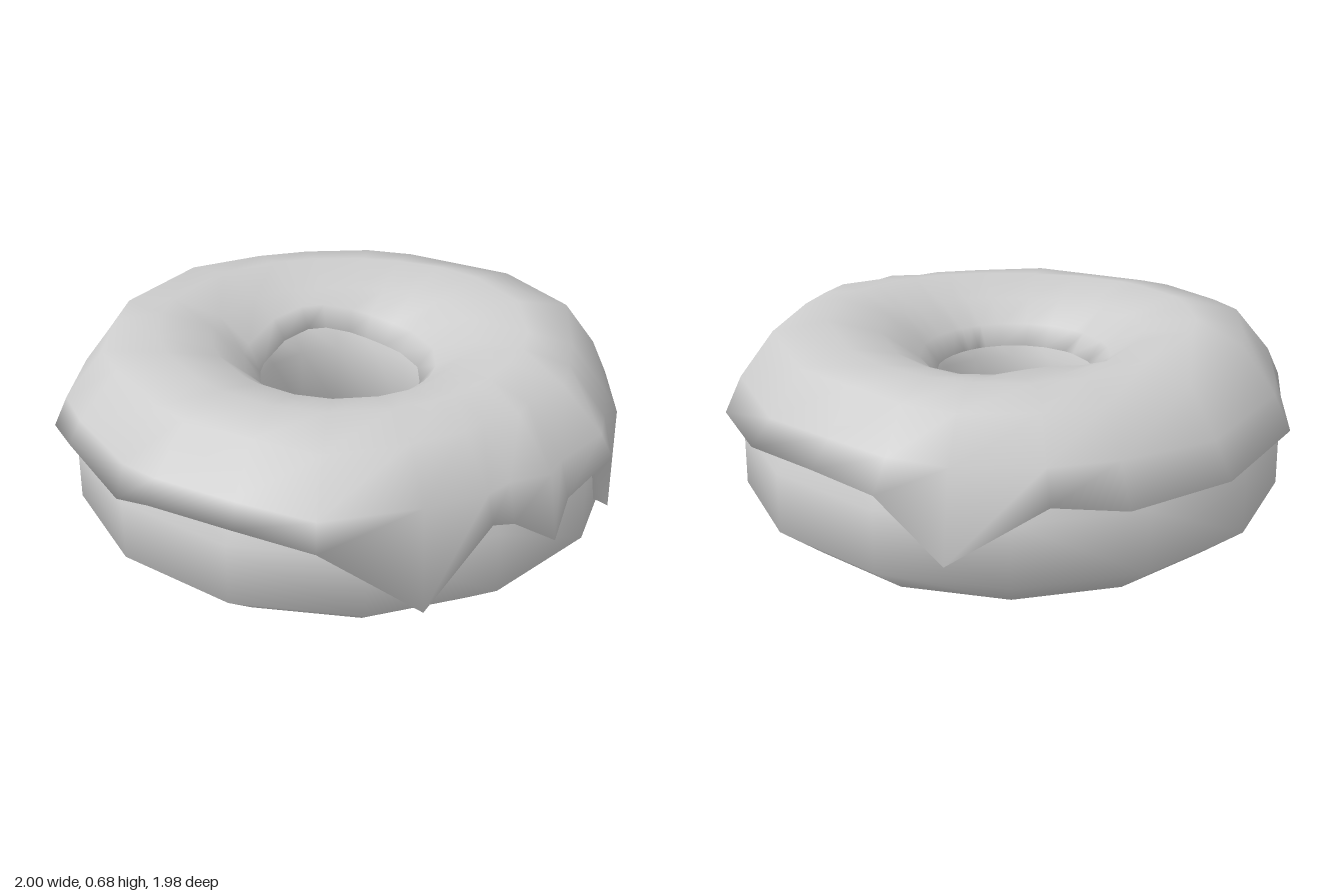
import * as THREE from 'three';

const glaze = new THREE.MeshStandardMaterial({ color: 0xcccccc });
glaze.name = 'plain grey';

// Closed dough ring, profile from the hidden top round the hole, base and outer wall
function makeDough() {
  const profile = [
    [0.62, 0.6], [0.43, 0.54], [0.315, 0.42], [0.315, 0.17], [0.44, 0.04], [0.62, 0.005],
    [0.8, 0.01], [0.95, 0.135], [0.945, 0.34], [0.82, 0.53], [0.62, 0.6],
  ].map(([r, y]) => new THREE.Vector2(r, y));
  const mesh = new THREE.Mesh(new THREE.LatheGeometry(profile, 14), glaze);
  mesh.name = 'dough';
  return mesh;
}

// Icing rim: x, z and height of the lower edge, in order around the ring
const rim = [
  [0.04, 0.985, 0.39], [0.18, 0.96, 0.42], [0.45, 0.86, 0.42], [0.7, 0.75, 0.41],
  [0.86, 0.47, 0.15], [0.94, 0.27, 0.41], [0.94, 0.17, 0.37], [1.0, 0.04, 0.28],
  [0.97, -0.05, 0.38], [0.98, -0.25, 0.45], [0.89, -0.4, 0.16], [0.78, -0.56, 0.42],
  [0.51, -0.87, 0.37], [0.07, -0.99, 0.42], [-0.2, -0.93, 0.42], [-0.45, -0.87, 0.41],
  [-0.64, -0.76, 0.22], [-0.83, -0.52, 0.41], [-0.93, -0.3, 0.37], [-1.0, 0.05, 0.39],
  [-0.84, 0.52, 0.38], [-0.7, 0.68, 0.28], [-0.48, 0.89, 0.4], [-0.3, 0.94, 0.42],
];

// Icing cross-section at one rim station: tucked lip, drip edge, crown, hole lip
function section(R, edge, angle) {
  const wave = -0.015 * Math.sin(2 * angle);
  const bulge = 0.945 + 0.025 * Math.cos(angle - Math.PI / 4);
  // The lip in the hole is lifted on one side
  const lift = 0.06 * Math.max(0, Math.cos(angle + 1.95)) ** 4;
  return [
    [R - 0.1, edge + 0.03], [R, edge], [bulge * R, Math.max(0.5, edge + 0.07)],
    [0.82 * R, 0.645 + wave], [0.64, 0.675 + wave], [0.46, 0.625 + wave],
    [0.34, 0.54 + lift], [0.285, 0.47 + lift], [0.34, 0.46 + lift],
  ];
}

function makeIcing() {
  const positions = [];
  const index = [];
  const rows = 9;
  rim.forEach(([x, z, edge], i) => {
    const angle = Math.atan2(x, z);
    section(Math.hypot(x, z), edge, angle).forEach(([r, y], j) => {
      // The hole sits slightly towards the front
      const shift = j > 5 ? 0.015 : 0;
      positions.push(r * Math.sin(angle), y, r * Math.cos(angle) + shift);
    });
    const next = (i + 1) % rim.length;
    for (let j = 0; j < rows - 1; j++) {
      const a = i * rows + j;
      const b = next * rows + j;
      index.push(a, b, b + 1, a, b + 1, a + 1);
    }
  });
  const geometry = new THREE.BufferGeometry();
  geometry.setAttribute('position', new THREE.Float32BufferAttribute(positions, 3));
  geometry.setIndex(index);
  geometry.computeVertexNormals();
  const mesh = new THREE.Mesh(geometry, glaze);
  mesh.name = 'icing';
  return mesh;
}

export function createModel() {
  const model = new THREE.Group();
  model.name = 'doughnut';
  model.add(makeDough(), makeIcing());
  return model;
}
